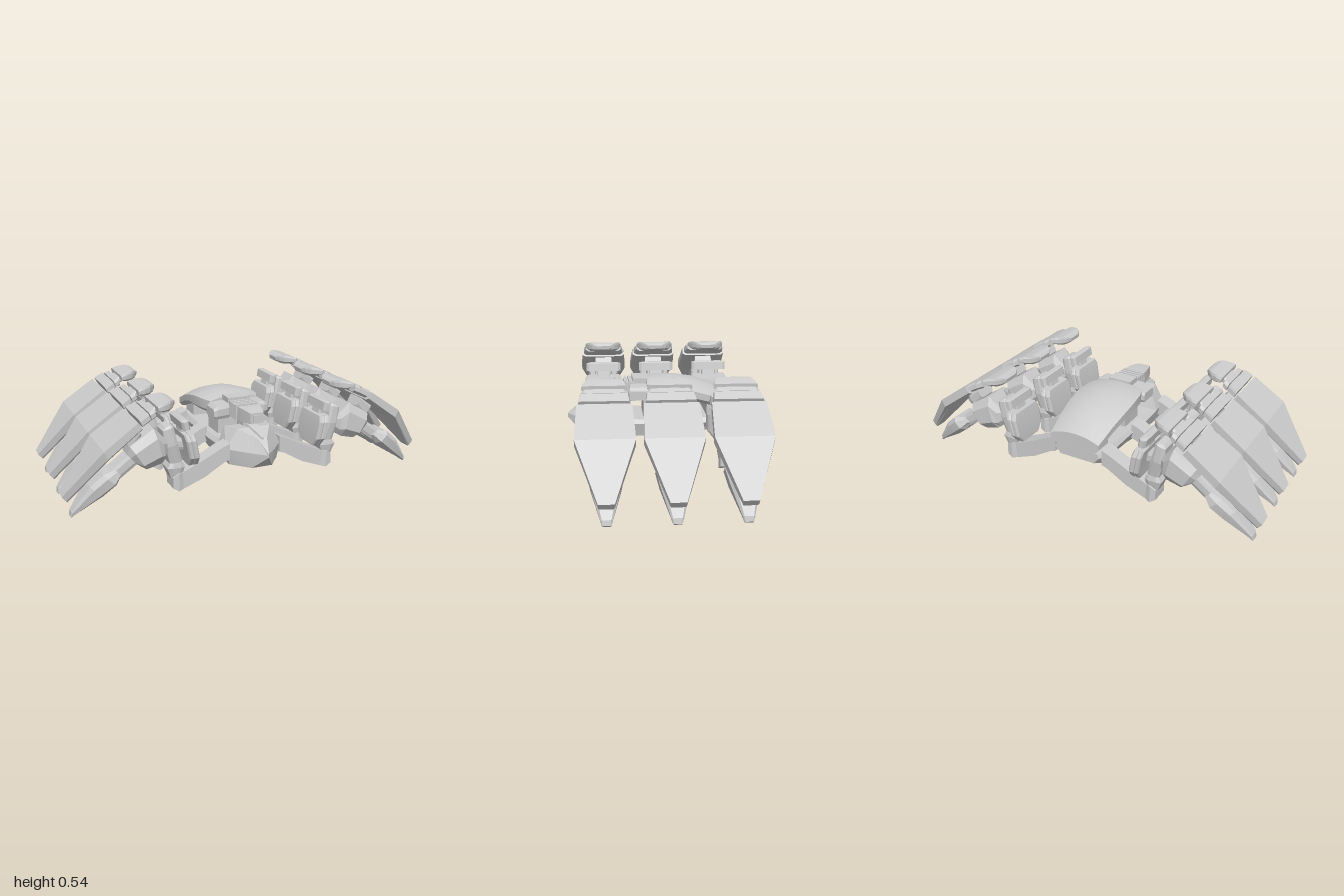
import * as THREE from 'three';
import { toCreasedNormals } from 'three/addons/utils/BufferGeometryUtils.js';

const grey = new THREE.MeshStandardMaterial({ color: 0xcccccc });
grey.name = 'light grey metal';

// Closed surface through rings of equal point count, always facing outward
function loft(name, rings, crease = 0.15) {
  const tris = [];
  const n = rings[0].length;
  for (let r = 0; r < rings.length - 1; r++) {
    for (let i = 0; i < n; i++) {
      const j = (i + 1) % n;
      const a = rings[r][i], b = rings[r][j], c = rings[r + 1][j], d = rings[r + 1][i];
      tris.push([a, b, c], [a, c, d]);
    }
  }
  const cap = (ring, flip) => {
    const mid = new THREE.Vector3();
    ring.forEach((p) => mid.addScaledVector(p, 1 / n));
    ring.forEach((p, i) => {
      const q = ring[(i + 1) % n];
      tris.push(flip ? [mid, q, p] : [mid, p, q]);
    });
  };
  cap(rings[0], true);
  cap(rings[rings.length - 1], false);
  let volume = 0;
  const cross = new THREE.Vector3();
  for (const [a, b, c] of tris) volume += a.dot(cross.crossVectors(b, c));
  const points = tris.flatMap(([a, b, c]) => (volume > 0 ? [a, b, c] : [a, c, b]));
  const geometry = toCreasedNormals(new THREE.BufferGeometry().setFromPoints(points), crease);
  const mesh = new THREE.Mesh(geometry, grey);
  mesh.name = name;
  return mesh;
}

// Limb plate: each station is [outerX, outerY, innerX, innerY, halfWidth];
// ko and ki narrow the outer and inner faces to make bevels
function plate(name, side, stations, ko = 0.85, ki = 0.85) {
  return loft(name, stations.map(([ox, oy, ix, iy, w]) => {
    const at = (t, z) => new THREE.Vector3(side * (ox + (ix - ox) * t), oy + (iy - oy) * t, z);
    return [at(0, -w * ko), at(0, w * ko), at(0.25, w), at(0.75, w),
      at(1, w * ki), at(1, -w * ki), at(0.75, -w), at(0.25, -w)];
  }));
}

// Body part: each section is z followed by half outline points from bottom to top
function hullPart(name, sections, crease) {
  return loft(name, sections.map(([z, ...half]) => {
    const right = half.map(([x, y]) => new THREE.Vector3(x, y, z));
    const left = half.map(([x, y]) => new THREE.Vector3(-x, y, z)).reverse();
    return [...right, ...left];
  }), crease);
}

function box(name, w, h, d, x, y, z) {
  const mesh = new THREE.Mesh(new THREE.BoxGeometry(w, h, d), grey);
  mesh.position.set(x, y, z);
  mesh.name = name;
  return mesh;
}

function createLeg(side) {
  const leg = new THREE.Group();
  leg.name = side > 0 ? 'leftLeg' : 'rightLeg';
  const add = (...args) => leg.add(plate(args[0], side, ...args.slice(1)));

  // Hip arm and knee
  add('hipArm', [[0.14, 0.27, 0.14, 0.185, 0.043], [0.18, 0.255, 0.17, 0.175, 0.043],
    [0.29, 0.2, 0.28, 0.11, 0.042], [0.4, 0.155, 0.39, 0.07, 0.045],
    [0.42, 0.155, 0.42, 0.062, 0.055], [0.45, 0.135, 0.45, 0.08, 0.05]], 1, 1);
  add('knee', [[0.455, 0.13, 0.4, 0.13, 0.04], [0.475, 0.185, 0.385, 0.185, 0.05],
    [0.46, 0.21, 0.39, 0.21, 0.045]]);
  add('shin', [[0.455, 0.19, 0.395, 0.21, 0.04], [0.485, 0.3, 0.42, 0.31, 0.055],
    [0.495, 0.385, 0.44, 0.4, 0.05], [0.48, 0.4, 0.45, 0.41, 0.04]]);

  // Twin inner plates with a top cap
  const shift = (dx, list) => list.map(([a, b, c, d, w]) => [a + dx, b, c + dx, d, w]);
  const inner = [[0.347, 0.197, 0.322, 0.202, 0.07], [0.353, 0.245, 0.326, 0.245, 0.108],
    [0.37, 0.335, 0.342, 0.335, 0.112], [0.376, 0.365, 0.35, 0.365, 0.095]];
  add('innerPlate', inner, 0.95, 0.9);
  add('middlePlate', shift(0.027, inner), 0.9, 0.95);
  add('capNeck', [[0.4, 0.36, 0.37, 0.36, 0.04], [0.4, 0.4, 0.38, 0.4, 0.04]]);
  add('innerCap', [[0.408, 0.39, 0.368, 0.393, 0.1], [0.416, 0.432, 0.376, 0.436, 0.1],
    [0.406, 0.44, 0.386, 0.44, 0.08]]);
  add('plateLink', [[0.38, 0.33, 0.38, 0.27, 0.035], [0.46, 0.34, 0.46, 0.28, 0.035]]);

  // Thigh block and striking claw
  add('thigh', [[0.47, 0.34, 0.47, 0.26, 0.045], [0.5, 0.36, 0.49, 0.235, 0.07],
    [0.545, 0.41, 0.505, 0.225, 0.085], [0.665, 0.335, 0.585, 0.205, 0.085],
    [0.675, 0.29, 0.63, 0.235, 0.06]], 0.7, 0.6);
  add('clawNeck', [[0.65, 0.3, 0.62, 0.24, 0.045], [0.76, 0.22, 0.72, 0.17, 0.045]]);
  add('claw', [[0.74, 0.225, 0.705, 0.195, 0.06], [0.8, 0.215, 0.735, 0.15, 0.085],
    [0.865, 0.16, 0.8, 0.1, 0.07], [0.955, 0.035, 0.93, 0.02, 0.028],
    [0.96, 0.01, 0.953, 0.003, 0.02]], 0.75, 0.6);

  // Long outer shield and its overlapping shoulder segments
  add('shield', [[0.64, 0.47, 0.615, 0.43, 0.128], [0.81, 0.355, 0.785, 0.305, 0.137],
    [0.997, 0.125, 0.972, 0.093, 0.036]], 1, 0.85);
  add('shieldMount', [[0.63, 0.43, 0.6, 0.38, 0.05], [0.7, 0.38, 0.65, 0.31, 0.05]]);
  add('shoulderSegment', [[0.585, 0.505, 0.568, 0.465, 0.112],
    [0.632, 0.48, 0.612, 0.44, 0.12]], 0.97);
  add('shoulderNeck', [[0.53, 0.515, 0.52, 0.485, 0.06], [0.61, 0.475, 0.6, 0.445, 0.06]]);
  add('shoulderRib', [[0.553, 0.517, 0.541, 0.477, 0.105], [0.578, 0.505, 0.566, 0.465, 0.114]]);
  add('shoulderTip', [[0.43, 0.53, 0.432, 0.51, 0.04], [0.443, 0.54, 0.447, 0.5, 0.065],
    [0.465, 0.545, 0.47, 0.493, 0.085], [0.505, 0.538, 0.5, 0.494, 0.1],
    [0.535, 0.528, 0.532, 0.5, 0.107]], 0.95);
  return leg;
}

export function createModel() {
  const model = new THREE.Group();
  model.name = 'sixLeggedWalker';

  // Low hull with pointed prow
  const hull = ([z, xb, yb, xm, ym, xt, yt]) => [z, [xb, yb], [xm, ym], [xt, yt]];
  model.add(hullPart('hull', [
    [-0.4, 0.1, 0.19, 0.13, 0.225, 0.12, 0.25],
    [-0.36, 0.12, 0.175, 0.15, 0.22, 0.13, 0.25],
    [-0.1, 0.125, 0.165, 0.15, 0.22, 0.135, 0.24],
    [0.05, 0.135, 0.15, 0.155, 0.22, 0.135, 0.24],
    [0.17, 0.135, 0.15, 0.155, 0.225, 0.135, 0.245],
    [0.2, 0.135, 0.15, 0.155, 0.23, 0.12, 0.325],
    [0.3, 0.135, 0.15, 0.155, 0.235, 0.09, 0.335],
    [0.405, 0.057, 0.155, 0.064, 0.235, 0.025, 0.305],
    [0.477, 0.002, 0.225, 0.003, 0.238, 0.002, 0.248],
  ].map(hull)));
  model.add(hullPart('prowRidge', [
    [0.2, [0.045, 0.3], [0.03, 0.35]],
    [0.3, [0.04, 0.3], [0.025, 0.345]],
    [0.41, [0.015, 0.26], [0.005, 0.312]],
  ]));

  // Domed back shell: z, half width, bottom, edge and crown heights
  const shellKeys = [[-0.42, 0.142, 0.265, 0.315, 0.345], [-0.3, 0.155, 0.31, 0.365, 0.405],
    [-0.2, 0.165, 0.338, 0.395, 0.437], [-0.1, 0.168, 0.345, 0.415, 0.451],
    [-0.01, 0.158, 0.348, 0.42, 0.452], [0.05, 0.135, 0.35, 0.418, 0.44]];
  model.add(hullPart('backShell', shellKeys.map(([z, w, bottom, edge, crown]) => {
    const arc = [0.95, 0.8, 0.6, 0.4, 0.2, 0.06].map(
      (f) => [w * f, edge + (crown - edge) * (1 - f * f)]);
    return [z, [w * 0.86, bottom], [w * 0.99, bottom + 0.02], [w, edge], ...arc];
  }), 0.35));
  model.add(box('frontPedestal', 0.2, 0.14, 0.14, 0, 0.29, 0));
  model.add(box('rearPedestal', 0.22, 0.09, 0.12, 0, 0.265, -0.33));

  // Ribbed neck and tapered square muzzle
  model.add(box('neckBase', 0.13, 0.11, 0.08, 0, 0.393, 0.085));
  for (let i = 0; i < 4; i++) {
    model.add(box('neckRib', 0.13, 0.08, 0.014, 0, 0.395, 0.14 + i * 0.024));
  }
  model.add(box('neckCore', 0.105, 0.062, 0.13, 0, 0.39, 0.18));
  model.add(hullPart('muzzle', [
    [0.23, [0.06, 0.36], [0.06, 0.43]],
    [0.27, [0.055, 0.36], [0.055, 0.43]],
    [0.34, [0.036, 0.365], [0.036, 0.42]],
  ]));
  model.add(box('muzzlePlate', 0.045, 0.035, 0.01, 0, 0.392, 0.342));
  model.add(box('neckSupport', 0.07, 0.06, 0.08, 0, 0.34, 0.21));

  // Shoulder blocks beside the neck
  for (const side of [1, -1]) {
    const block = plate('shoulderBlock', side, [[0.065, 0.42, 0.065, 0.345, 0.05],
      [0.135, 0.415, 0.135, 0.345, 0.058], [0.155, 0.4, 0.155, 0.35, 0.052]]);
    block.position.z = 0.095;
    model.add(block);
  }

  // Three pairs of legs
  for (const z of [0.279, -0.031, -0.345]) {
    for (const side of [1, -1]) {
      const leg = createLeg(side);
      leg.position.z = z;
      model.add(leg);
    }
  }
  return model;
}
